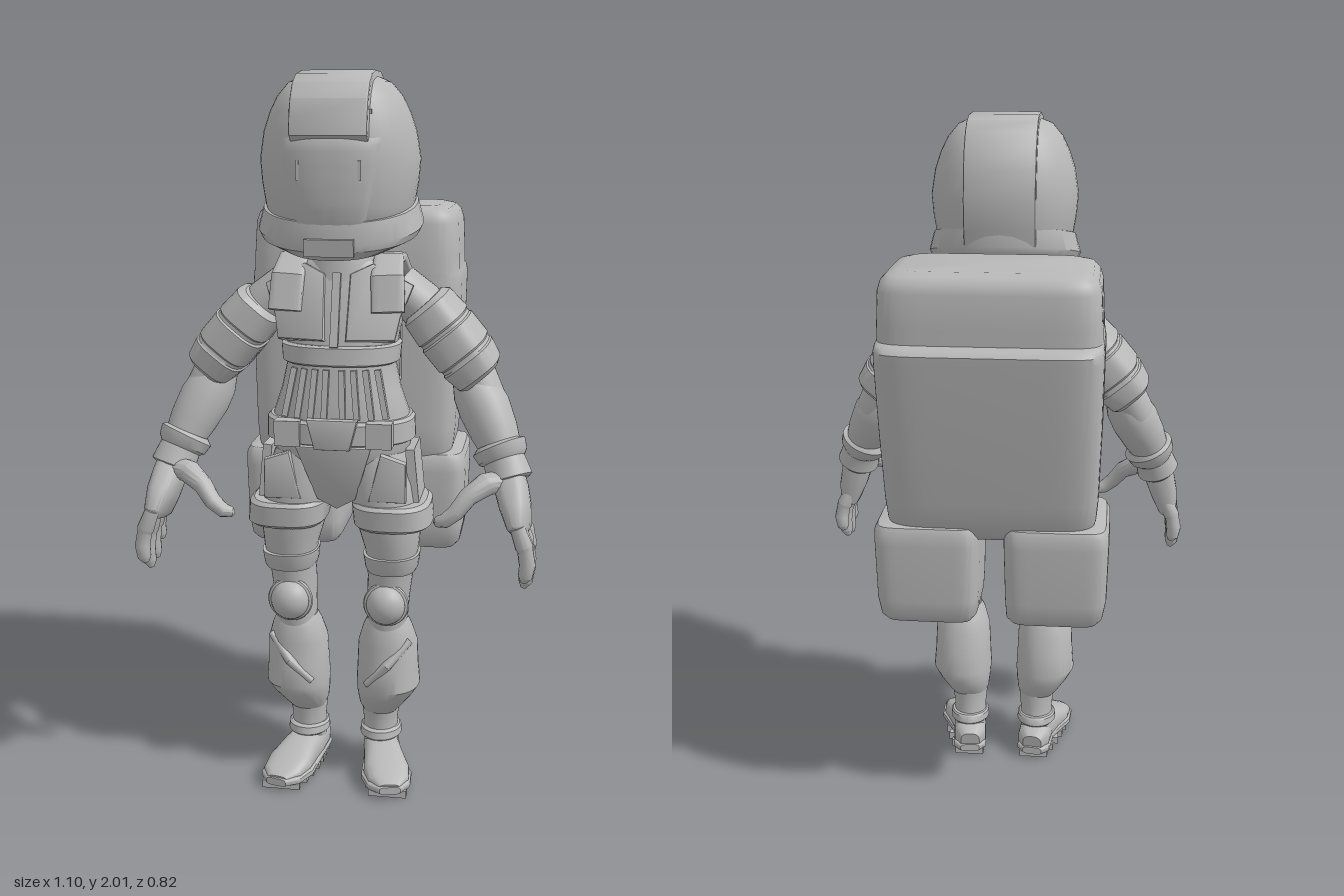
import * as THREE from 'three';
import { toCreasedNormals } from 'three/addons/utils/BufferGeometryUtils.js';

const V = (x, y, z) => new THREE.Vector3(x, y, z);
const UP = V(0, 1, 0);

// Skin superellipse rings [x, y, z, halfA, halfB]; rings lie square to dir, or to the path
function loft(rings, { n = 28, e = 2, ref = V(0, 0, 1), dir = null } = {}) {
  const pos = [], idx = [];
  const c = rings.map(r => V(r[0], r[1], r[2]));
  rings.forEach((r, i) => {
    const t = (dir ? dir.clone() : c[Math.min(i + 1, c.length - 1)].clone().sub(c[Math.max(i - 1, 0)])).normalize();
    const u = ref.clone().addScaledVector(t, -t.dot(ref)).normalize();
    const v = t.clone().cross(u);
    for (let j = 0; j < n; j++) {
      const th = j / n * Math.PI * 2, cs = Math.cos(th), sn = Math.sin(th);
      const p = c[i].clone()
        .addScaledVector(v, r[3] * Math.sign(cs) * Math.abs(cs) ** (2 / e))
        .addScaledVector(u, r[4] * Math.sign(sn) * Math.abs(sn) ** (2 / e));
      pos.push(p.x, p.y, p.z);
    }
  });
  const last = rings.length - 1;
  for (let i = 0; i < last; i++) for (let j = 0; j < n; j++) {
    const a = i * n + j, b = i * n + (j + 1) % n;
    idx.push(a, a + n, b, a + n, b + n, b);
  }
  // end caps
  const k = pos.length / 3;
  pos.push(...c[0].toArray(), ...c[last].toArray());
  for (let j = 0; j < n; j++) {
    const q = (j + 1) % n;
    idx.push(k, j, q, k + 1, last * n + q, last * n + j);
  }
  const g = new THREE.BufferGeometry();
  g.setAttribute('position', new THREE.Float32BufferAttribute(pos, 3));
  g.setIndex(idx);
  return g;
}

// Level rings from rows [y, zFront, zBack, halfWidth, centreX]
const rows = list => list.map(([y, f, b, w, x = 0]) => [x, y, (f + b) / 2, w, (f - b) / 2]);
const level = (list, e = 2.4, n = 36) => loft(rows(list), { e, n, dir: UP });

const box = (w, h, d, x, y, z, rx = 0, rz = 0) =>
  new THREE.BoxGeometry(w, h, d).rotateX(rx).rotateZ(rz).translate(x, y, z);
const plate = (pts, depth, bevel) => new THREE.ExtrudeGeometry(
  new THREE.Shape(pts.map(p => new THREE.Vector2(...p))),
  { depth, bevelEnabled: bevel > 0, bevelSize: bevel, bevelThickness: bevel, bevelSegments: 2 });

const HELMET = [[1.565, .35, .05, .15], [1.6, .385, .03, .18], [1.66, .4, .01, .198], [1.72, .405, .003, .208],
  [1.78, .406, .0, .213], [1.85, .402, .01, .202], [1.9, .39, .025, .185], [1.94, .375, .045, .165],
  [1.975, .345, .075, .135], [1.99, .3, .11, .1]];
// Front depth of the helmet at (x, y)
function helmetZ(x, y) {
  const i = Math.max(1, HELMET.findIndex(r => r[0] >= y));
  const p = HELMET[i - 1], q = HELMET[i], t = (y - p[0]) / (q[0] - p[0]);
  const [f, b, w] = [1, 2, 3].map(k => p[k] + (q[k] - p[k]) * t);
  return (f + b) / 2 + (f - b) / 2 * (1 - Math.min(1, Math.abs(x) / w) ** 2.3) ** (1 / 2.3);
}

export function createModel() {
  const model = new THREE.Group();
  const grey = new THREE.MeshStandardMaterial({ color: 0xb8b8b8 });
  grey.name = 'suit grey';

  function add(name, geo, crease = 0.6) {
    const mesh = new THREE.Mesh(toCreasedNormals(geo, crease), grey);
    mesh.name = name;
    model.add(mesh);
  }
  // Adds the part on the left (+x) and its mirror image on the right
  function pair(name, geo, crease) {
    const flip = (geo.index ? geo.toNonIndexed() : geo.clone()).scale(-1, 1, 1);
    const p = flip.attributes.position;
    for (let i = 0; i < p.count; i += 3) {
      const b = V().fromBufferAttribute(p, i + 1), c = V().fromBufferAttribute(p, i + 2);
      p.setXYZ(i + 1, c.x, c.y, c.z);
      p.setXYZ(i + 2, b.x, b.y, b.z);
    }
    add(name + 'Left', geo, crease);
    add(name + 'Right', flip, crease);
  }

  // Helmet: shell, crest strip, visor, jaw guard
  add('helmetShell', level(HELMET, 2.3, 48), 0.8);
  add('helmetCrest', plate([[.03, 1.62], [.004, 1.7], [-.004, 1.78], [.008, 1.86], [.03, 1.915], [.062, 1.958], [.1, 1.985], [.15, 1.998],
    [.24, 2], [.31, 1.99], [.355, 1.968], [.385, 1.93], [.402, 1.88], [.407, 1.845], [.2, 1.7]], .19, .006)
    .rotateY(-Math.PI / 2).translate(.095, 0, 0), 0.5);
  const visor = new THREE.PlaneGeometry(2, 1, 20, 14);
  const vp = visor.attributes.position;
  for (let i = 0; i < vp.count; i++) {
    const u = vp.getX(i), v = vp.getY(i) + .5, y = 1.575 + v * .265;
    const x = u * (.075 + .06 * v ** .7);
    vp.setXYZ(i, x, y, helmetZ(x, y) + (Math.abs(u) > .95 || v > .95 ? -.002 : .006));
  }
  add('visor', visor);
  add('visorSlot', box(.1, .008, .008, 0, 1.865, .405));
  pair('visorMark', box(.008, .05, .008, .08, 1.755, helmetZ(.08, 1.755) + .005));
  pair('visorStud', box(.012, .012, .008, .1, 1.9, helmetZ(.1, 1.9)));
  add('jawGuard', loft([[0, 1.563, .2, .15, .18], [0, 1.59, .2, .212, .203], [0, 1.61, .2, .222, .207],
    [0, 1.665, .2, .207, .2], [0, 1.67, .2, .19, .185]], { n: 40, e: 2.2, dir: V(0, 1, .22) }));
  add('chinPiece', box(.13, .045, .02, 0, 1.56, .395, .12));

  // Neck and collar
  add('neck', level([[1.42, .25, .09, .09], [1.5, .25, .11, .075], [1.6, .25, .12, .068]], 2));
  add('collar', level([[1.46, .27, .07, .11], [1.5, .265, .09, .1], [1.525, .26, .1, .09], [1.53, .25, .11, .08]], 2));

  // Torso and jacket
  add('torso', level([[.84, .25, .13, .03], [.88, .29, .09, .09], [.93, .315, .06, .16], [1, .335, .05, .192], [1.08, .34, .055, .192],
    [1.16, .328, .07, .165], [1.24, .318, .07, .148], [1.32, .308, .06, .16], [1.41, .285, .05, .185],
    [1.47, .265, .06, .165], [1.51, .25, .09, .1]]));
  add('belt', level([[1.02, .345, .045, .2], [1.025, .355, .04, .207], [1.08, .355, .045, .205], [1.088, .345, .05, .197]]));
  add('buckle', plate([[-.045, 1.02], [.045, 1.02], [.065, 1.095], [-.065, 1.095]], .02, .004).translate(0, 0, .348));
  pair('beltPouch', box(.07, .07, .045, .125, 1.055, .335));
  add('chestBand', level([[1.235, .325, .062, .155], [1.24, .332, .058, .162], [1.285, .328, .055, .166], [1.29, .32, .06, .158]]));
  for (const x of [.022, .055, .088, .12])
    pair('jacketPleat', box(.016, .135, .02, x * 1.05, 1.16, .334 - x * x * 2.2, -.1, x * 1.6), 0.3);
  pair('chestPlate', plate([[.03, 1.3], [.15, 1.3], [.165, 1.36], [.2, 1.44], [.1, 1.495], [.045, 1.47]], .035, .007)
    .translate(0, -1.3, 0).rotateX(-.3).rotateY(.2).translate(0, 1.3, .288));
  add('zipper', box(.022, .2, .012, 0, 1.385, .302, -.28));
  pair('shoulderStrap', loft([[.14, 1.38, .29, .015, .045], [.135, 1.47, .265, .015, .045], [.13, 1.515, .2, .015, .04],
    [.13, 1.51, .12, .015, .04], [.135, 1.46, .06, .015, .045], [.13, 1.33, .04, .015, .045]], { e: 5, ref: V(1, 0, 0) }));
  add('crotchPanel', plate([[-.1, 1.02], [-.05, .86], [0, .83], [.05, .86], [.1, 1.02]], .012, .004)
    .translate(0, -1.02, 0).rotateX(.3).translate(0, 1.02, .335));

  // Legs: thigh, straps, knee pad, baggy shin
  pair('thigh', level([[.99, .31, .06, .085, .1], [.9, .33, .055, .1, .115], [.8, .325, .08, .095, .135], [.7, .3, .115, .075, .145],
    [.62, .285, .115, .064, .14], [.55, .28, .115, .06, .135], [.45, .265, .13, .055, .132]].reverse(), 2.2));
  pair('thighStrap', level([[.775, .325, .075, .1, .148], [.785, .34, .065, .11, .15], [.84, .345, .06, .11, .145], [.85, .335, .07, .1, .143]], 2.8));
  pair('kneeStrap', level([[.64, .295, .11, .07, .145], [.65, .3, .105, .075, .145], [.69, .31, .105, .08, .145]], 2.4));
  pair('hipPad', box(.025, .15, .15, .206, .925, .19, 0, .1));
  pair('thighPlate', plate([[.1, .87], [.19, .87], [.19, .97], [.13, .99]], .02, .006).translate(0, 0, .305));
  pair('kneePad', new THREE.SphereGeometry(1, 24, 16).scale(.056, .058, .05).translate(.137, .55, .272));
  pair('kneeRim', new THREE.TorusGeometry(.055, .01, 8, 28).translate(.137, .55, .272));
  pair('shin', level([[.185, .21, .11, .05, .108], [.21, .235, .09, .065, .113], [.25, .27, .072, .082, .125], [.28, .285, .068, .092, .133],
    [.34, .28, .08, .088, .132], [.41, .272, .095, .085, .132], [.46, .27, .115, .07, .132], [.485, .26, .13, .058, .132]], 2.2));
  pair('shinFold', loft([[.2, .43, .235, .012, .012], [.14, .365, .278, .014, .014], [.08, .3, .265, .01, .01]], { n: 12 }));

  // Boots with treaded soles
  pair('bootShaft', level([[.06, .21, .075, .05, .11], [.1, .205, .09, .05, .107], [.15, .2, .1, .05, .107], [.2, .21, .1, .056, .108]], 2));
  pair('bootCuff', level([[.1, .215, .08, .056, .108], [.105, .22, .076, .061, .108], [.125, .215, .08, .06, .108], [.13, .205, .085, .055, .108]], 2));
  pair('boot', loft([[.1, .05, .06, .03, .03], [.103, .055, .09, .05, .042], [.11, .06, .16, .052, .048], [.125, .055, .22, .057, .045],
    [.142, .045, .28, .066, .034], [.155, .038, .33, .058, .024], [.162, .033, .365, .03, .012]], { e: 2.6, ref: UP }));
  pair('sole', loft([[.1, .028, .055, .03, .012], [.103, .028, .08, .052, .014], [.112, .028, .17, .052, .014], [.142, .028, .28, .074, .014],
    [.157, .028, .34, .062, .013], [.165, .028, .372, .03, .011]], { e: 4, ref: UP }));
  for (let i = 0; i < 7; i++) {
    const z = .08 + i * .044;
    pair('tread', box(.09 + .036 * Math.sin(i / 6 * 2.6), .022, .024, .1 + .19 * (z - .06), .011, z), 0.3);
  }

  // Arms
  pair('upperArm', loft([[.15, 1.44, .16, .06, .08], [.21, 1.39, .16, .065, .085], [.3, 1.28, .16, .06, .08], [.37, 1.19, .165, .058, .07], [.4, 1.13, .18, .055, .065]]));
  pair('shoulderArmour', loft([[.223, 1.39, .155, .058, .105], [.232, 1.38, .155, .074, .122], [.275, 1.328, .155, .08, .127],
    [.278, 1.324, .155, .076, .123], [.284, 1.317, .155, .076, .123], [.287, 1.313, .155, .081, .128],
    [.333, 1.258, .155, .081, .127], [.336, 1.254, .155, .076, .122], [.342, 1.247, .155, .076, .122],
    [.345, 1.243, .155, .08, .125], [.378, 1.203, .155, .07, .115], [.385, 1.195, .155, .058, .1]], { e: 3.2, n: 36 }));
  pair('forearm', loft([[.345, 1.2, .165, .045, .055], [.37, 1.155, .175, .066, .07], [.395, 1.11, .19, .072, .075], [.425, 1.05, .215, .066, .07],
    [.455, .985, .24, .052, .056], [.468, .94, .255, .045, .052]]));
  pair('forearmPlate', loft([[.425, 1.135, .19, .02, .035], [.45, 1.07, .21, .026, .045], [.475, 1.015, .23, .022, .038]], { e: 3 }));
  pair('wristCuff', loft([[.436, 1.02, .228, .06, .064], [.44, 1.01, .231, .076, .074], [.452, .985, .24, .07, .068], [.456, .975, .244, .058, .06],
    [.464, .955, .252, .06, .062], [.472, .93, .26, .064, .066], [.475, .922, .263, .052, .056]]));

  // Hands: palm, fingers, thumb
  pair('palm', loft([[.466, .955, .255, .042, .045], [.478, .91, .275, .046, .06], [.492, .86, .3, .042, .08], [.504, .81, .318, .032, .085], [.508, .795, .322, .02, .075]], { e: 2.8 }));
  [[.25, .7, .235], [.295, .66, .29], [.343, .65, .343], [.385, .68, .39]].forEach(([z, tip, zt]) => {
    const at = (t, x, r) => [x, .83 + (tip - .83) * t, z + (zt - z) * t, r, r];
    pair('finger', loft([at(0, .5, .02), at(.35, .52, .024), at(.42, .523, .021), at(.68, .53, .022), at(.9, .525, .019), at(1, .52, .008)], { n: 12 }));
  });
  pair('thumb', loft([[.46, .93, .28, .03, .035], [.41, .925, .315, .032, .034], [.365, .895, .34, .026, .028], [.335, .855, .355, .023, .026],
    [.305, .83, .355, .02, .022], [.283, .825, .348, .015, .015], [.276, .826, .345, .006, .006]], { n: 14 }));

  // Backpack with stepped top flap and two lower pouches
  add('backpack', level([[.88, -.02, -.26, .25], [.9, .01, -.285, .28], [.94, .022, -.305, .292], [1, .025, -.32, .297], [1.2, .025, -.362, .303],
    [1.41, .022, -.406, .306], [1.435, .022, -.41, .305], [1.448, .022, -.4, .303], [1.456, .022, -.372, .3],
    [1.5, .02, -.374, .299], [1.59, .015, -.378, .294], [1.615, .01, -.372, .286], [1.632, -.005, -.355, .27], [1.64, -.03, -.32, .24]], 7, 72), 0.7);
  pair('packPouch', level([[.625, -.03, -.26, .1, .18], [.632, -.005, -.283, .125, .178], [.65, .01, -.297, .138, .179], [.7, .016, -.303, .144, .182],
    [.87, .022, -.312, .148, .182], [.905, .02, -.312, .147, .182], [.922, .01, -.305, .14, .18], [.93, -.015, -.28, .115, .178]], 7, 56), 0.7);
  pair('packBracket', box(.05, .3, .06, .12, 1.3, .03));

  return model;
}
